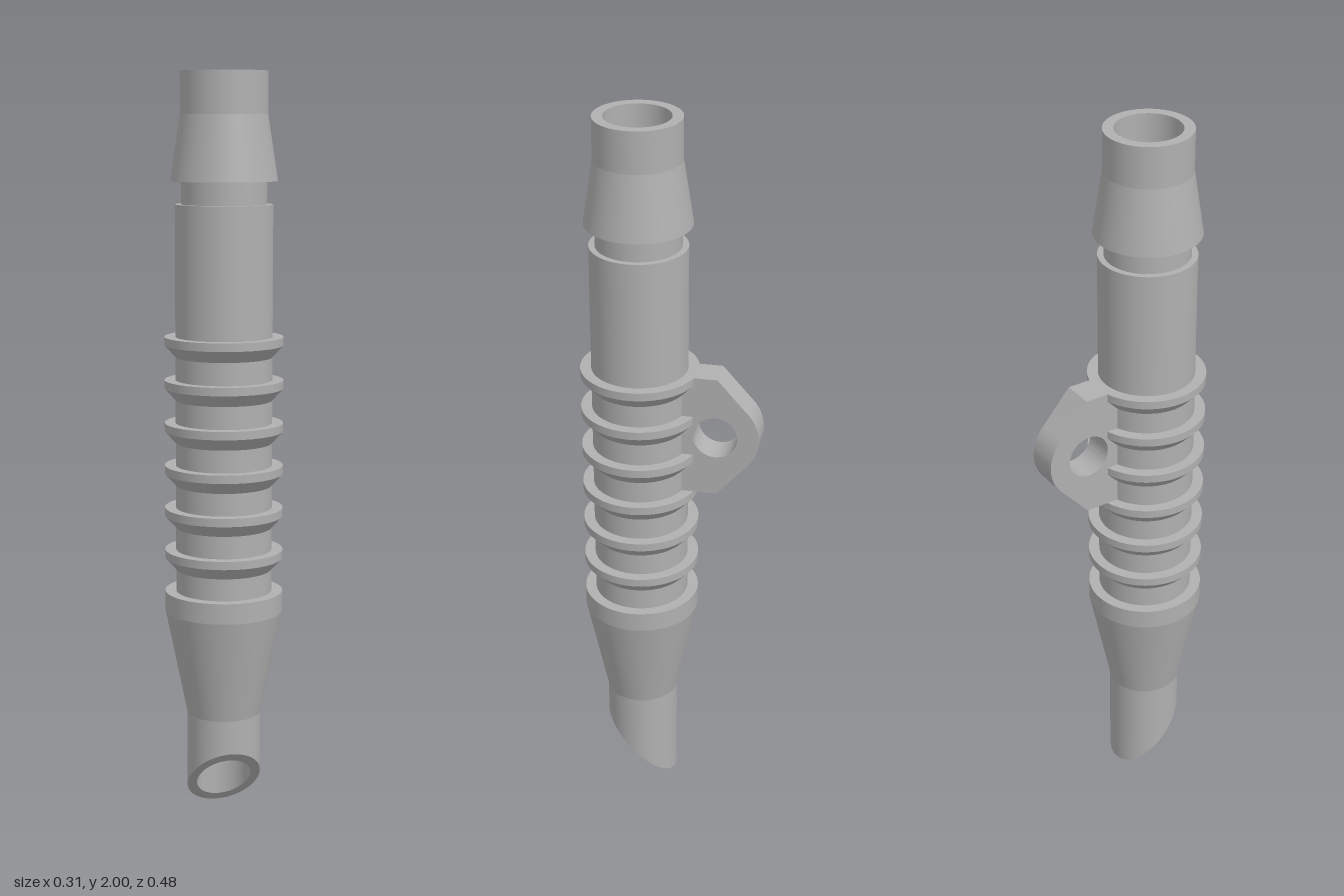
import * as THREE from 'three';
import { mergeGeometries, toCreasedNormals } from 'three/addons/utils/BufferGeometryUtils.js';

const AXIS_Z = 0.085; // tube axis, offset forward because of the rear lug
const TIP_R = 0.099;

// Revolve each profile segment separately so every edge stays crisp.
// Points run up the outside and down the inside; points at y = 0 follow the 45 degree tip cut.
function revolve(points) {
  const parts = [];
  for (let i = 0; i < points.length - 1; i++) {
    const pair = [points[i], points[i + 1]].map(([r, y]) => new THREE.Vector2(r, y));
    const geo = new THREE.LatheGeometry(pair, 96);
    const pos = geo.attributes.position;
    for (let j = 0; j < pos.count; j++) {
      if (pos.getY(j) === 0) pos.setY(j, pos.getZ(j) + TIP_R);
    }
    if (points[i][1] === 0 && points[i + 1][1] === 0) geo.computeVertexNormals();
    parts.push(geo);
  }
  return mergeGeometries(parts);
}

export function createModel() {
  const group = new THREE.Group();
  const grey = new THREE.MeshStandardMaterial({ color: 0xb0b0b0 });
  grey.name = 'grey';

  const add = (name, geo, z = AXIS_Z) => {
    const mesh = new THREE.Mesh(geo, grey);
    mesh.name = name;
    mesh.position.z = z;
    group.add(mesh);
    return mesh;
  };

  // Tapered lower end with its angled tip
  add('nozzle', revolve([[0.073, 0], [TIP_R, 0], [TIP_R, 0.29], [0.157, 0.575], [0.157, 0.63], [0.128, 0.63]]));

  // Plain body and the groove below the hose barb
  add('body', revolve([[0.128, 0.63], [0.128, 1.66], [0.112, 1.66], [0.112, 1.72]]));

  // Flared hose barb and top rim
  add('hoseBarb', revolve([[0.112, 1.72], [0.14, 1.72], [0.114, 1.89], [0.114, 2], [0.086, 2]]));

  // Through bore, narrowing inside the nozzle
  add('bore', revolve([[0.086, 2], [0.086, 0.575], [0.073, 0.29], [0.073, 0]]));

  // Six grip ribs, flat on top and chamfered underneath
  for (let i = 0; i < 6; i++) {
    const top = 1.315 - i * 0.1143;
    add('rib' + (i + 1), revolve([[0.128, top - 0.054], [0.157, top - 0.022], [0.157, top], [0.127, top]]));
  }

  // Rear lug with an eyelet, drawn in the side plane (u points backwards)
  const eyeU = 0.125, eyeY = 1.144;
  const outline = new THREE.Shape();
  outline.moveTo(0.02, 0.973);
  outline.lineTo(0.13, 0.973);
  outline.absarc(eyeU, eyeY, 0.117, -Math.PI / 4, Math.PI / 4, false);
  outline.lineTo(0.13, 1.315);
  outline.lineTo(0.02, 1.315);
  outline.closePath();
  const eye = new THREE.Path();
  eye.absarc(eyeU, eyeY, 0.059, 0, Math.PI * 2, true);
  outline.holes.push(eye);
  const lugGeo = new THREE.ExtrudeGeometry(outline, { depth: 0.085, bevelEnabled: false, curveSegments: 48 });
  lugGeo.translate(0, 0, -0.0425);
  lugGeo.rotateY(Math.PI / 2);
  add('lug', toCreasedNormals(lugGeo, 0.3), 0);

  return group;
}
